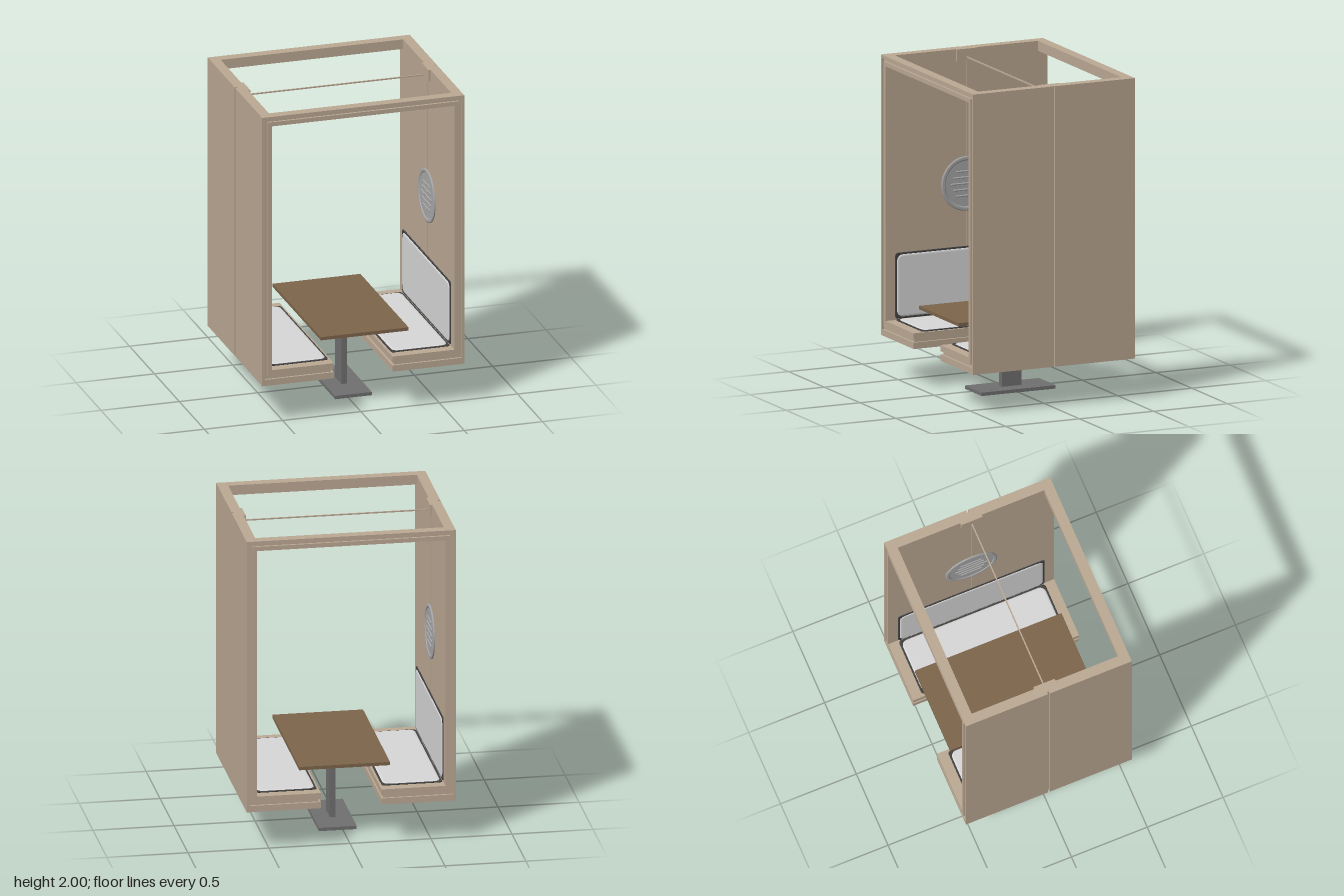
import * as THREE from 'three';

const mat = (name, color, side = THREE.FrontSide) => {
  const m = new THREE.MeshStandardMaterial({ color, side });
  m.name = name;
  return m;
};

export function createModel() {
  const wood = mat('paleWood', 0xbca994);
  const tableWood = mat('brownWood', 0x7e654b);
  const fabric = mat('lightFabric', 0xd8d8d8);
  const piping = mat('darkPiping', 0x424242);
  const steel = mat('greySteel', 0x707070);
  const ventGrey = mat('ventGrey', 0xa8a8a8);

  const root = new THREE.Group();
  root.name = 'meetingBooth';
  const group = (name, parent = root) => {
    const g = new THREE.Group();
    g.name = name;
    parent.add(g);
    return g;
  };
  const add = (name, geo, m, parent) => {
    const mesh = new THREE.Mesh(geo, m);
    mesh.name = name;
    parent.add(mesh);
    return mesh;
  };
  // Box given by its limits
  const box = (name, [x0, x1], [y0, y1], [z0, z1], m, parent) => {
    const mesh = add(name, new THREE.BoxGeometry(Math.abs(x1 - x0), y1 - y0, Math.abs(z1 - z0)), m, parent);
    mesh.position.set((x0 + x1) / 2, (y0 + y1) / 2, (z0 + z1) / 2);
    return mesh;
  };

  const X = 0.645, Z = 0.547, BOTTOM = 0.255, TOP = 2, BEAM = 0.483, SEAM = 0.006;

  // Shell: outer skin, recessed groove and inner lining, each as [start, end] offsets
  const layers = [
    { name: 'outer', wall: [0, 0.018], floor: [0, 0.04], roof: [0, 0.018], z: Z, end: 0.187 },
    { name: 'groove', wall: [0.018, 0.035], floor: [0.04, 0.06], roof: [0.018, 0.035], z: Z - 0.014, end: 0.201 },
    { name: 'inner', wall: [0.035, 0.063], floor: [0.06, 0.098], roof: [0.035, 0.062], z: Z, end: 0.187 },
  ];
  const shell = group('shell');
  for (const { name, wall, floor, roof, z, end } of layers) {
    for (const s of [1, -1]) {
      const wx = [s * (X - wall[0]), s * (X - wall[1])];
      for (const f of [1, -1])
        box(name + 'Wall', wx, [BOTTOM + floor[0], TOP - roof[0]], [f * (name === 'groove' ? 0 : SEAM), f * z], wood, shell);
      box(name + 'Bench', [s * end, s * (X - wall[0] - 0.0155)], [BOTTOM + floor[0], BOTTOM + floor[1]], [-z, z], wood, shell);
      // Front and back roof beams
      box(name + 'RoofBeam', [-(X - wall[0]), X - wall[0]], [TOP - roof[1], TOP - roof[0]], [s * BEAM, s * z], wood, shell);
    }
  }

  for (const s of [1, -1]) {
    // Side rails of the roof, split at the seam, and the rod bracket
    for (const f of [1, -1])
      box('roofRail', [s * X, s * 0.582], [1.94, TOP], [f * SEAM, f * BEAM], wood, shell);
    box('seamCore', [s * 0.63, s * 0.59], [BOTTOM, TOP], [-SEAM, SEAM], wood, shell);
    box('rodBracket', [s * 0.6, s * 0.568], [1.925, TOP], [-0.07, 0.07], wood, shell);
  }
  box('crossRod', [-0.57, 0.57], [1.942, 1.95], [-0.004, 0.004], wood, shell);

  // Padded panel with rounded corners: flat at z = 0, swelling towards +z
  const pad = (w, h, depth, edge, r = 0.03) => {
    const a = w / 2 - edge, b = h / 2 - edge, k = r;
    const s = new THREE.Shape();
    s.moveTo(-a + k, -b);
    s.lineTo(a - k, -b).quadraticCurveTo(a, -b, a, -b + k);
    s.lineTo(a, b - k).quadraticCurveTo(a, b, a - k, b);
    s.lineTo(-a + k, b).quadraticCurveTo(-a, b, -a, b - k);
    s.lineTo(-a, -b + k).quadraticCurveTo(-a, -b, -a + k, -b);
    return new THREE.ExtrudeGeometry(s, {
      depth: 0.001, bevelThickness: depth / 2, bevelSize: edge, bevelSegments: 4, curveSegments: 6,
    }).translate(0, 0, depth / 2);
  };
  const cushion = (name, w, h) => {
    const g = group(name);
    add('pipingPlate', pad(w, h, 0.006, 0.003, 0.02), piping, g);
    add('padding', pad(w - 0.022, h - 0.022, 0.011, 0.014), fabric, g);
    return g;
  };

  // Round wall vent facing +z
  const makeVent = () => {
    const g = group('wallVent');
    const profile = [[0, 0], [0.17, 0], [0.17, 0.006], [0.164, 0.009], [0.15, 0.009], [0.143, 0.004], [0, 0.004]]
      .map(([x, y]) => new THREE.Vector2(x, y));
    const disc = add('ventDisc', new THREE.LatheGeometry(profile, 40).toNonIndexed(), ventGrey, g);
    disc.geometry.computeVertexNormals();
    disc.rotation.x = Math.PI / 2;
    for (let i = -2; i <= 2; i++) {
      const len = 0.2 - Math.abs(i) * 0.035;
      const bar = add('ventLouvre', new THREE.CapsuleGeometry(0.007, len, 4, 8), ventGrey, g);
      bar.rotation.z = Math.PI / 2;
      bar.scale.x = 0.9;
      bar.position.set(0, i * 0.038, 0.003);
    }
    return g;
  };

  // Benches, backrests and vents on both sides
  for (const s of [1, -1]) {
    const back = cushion('backrest', 0.965, 0.41);
    back.rotation.y = -s * Math.PI / 2;
    back.position.set(s * 0.582, 0.566, 0);
    const seat = cushion('seatCushion', 0.375, 0.965);
    seat.rotation.x = -Math.PI / 2;
    seat.position.set(s * 0.388, 0.353, 0);
    const vent = makeVent();
    vent.rotation.y = -s * Math.PI / 2;
    vent.position.set(s * 0.582, 1.16, 0);
  }

  // Table on a single pedestal
  const table = group('table');
  box('tableTop', [-0.25, 0.31], [0.485, 0.506], [-0.485, 0.482], tableWood, table);
  box('topPlate', [-0.03, 0.093], [0.478, 0.485], [-0.15, 0.15], steel, table);
  box('column', [0.014, 0.05], [0.02, 0.478], [-0.066, 0.066], steel, table);
  box('footPlate', [-0.085, 0.149], [0, 0.021], [-0.25, 0.25], steel, table);

  return root;
}
